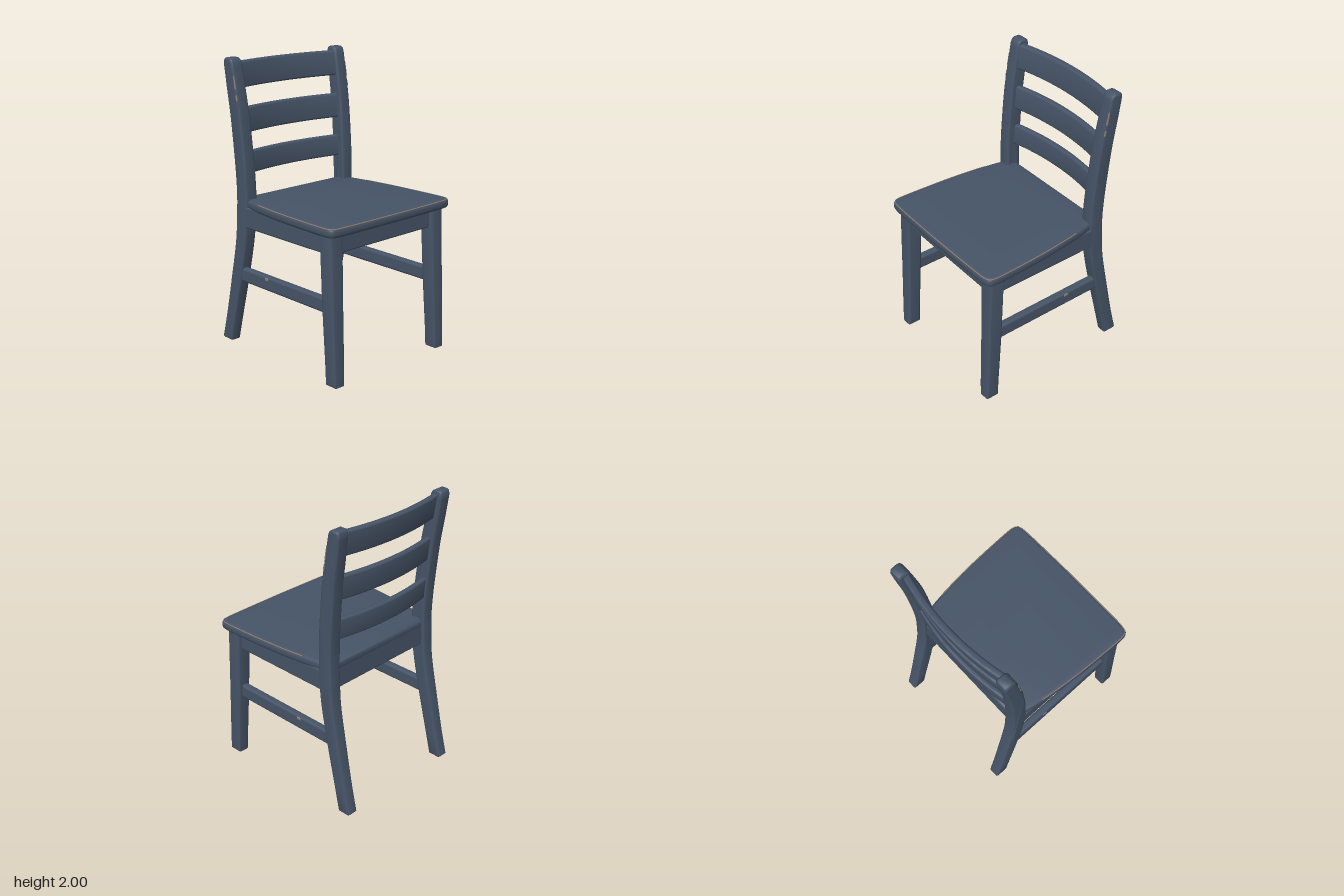
import * as THREE from 'three';
import { toCreasedNormals } from 'three/addons/utils/BufferGeometryUtils.js';
import { RoundedBoxGeometry } from 'three/addons/geometries/RoundedBoxGeometry.js';

const paint = new THREE.MeshStandardMaterial({ color: 0x465467 });
paint.name = 'slate blue paint';
const bare = new THREE.MeshStandardMaterial({ color: 0x917f70 });
bare.name = 'worn bare wood';

const v2 = ([x, y]) => new THREE.Vector2(x, y);
const smooth = (pts, n) => new THREE.SplineCurve(pts.map(v2)).getPoints(n);

// Extrude an outline to total height h with rounded edges that stay inside it
function slab(points, h, r) {
  const g = new THREE.ExtrudeGeometry(new THREE.Shape(points), {
    depth: h - 2 * r, bevelThickness: r, bevelSize: r, bevelOffset: -r, bevelSegments: 3, steps: 1,
  });
  return g.translate(0, 0, r);
}

// Move every vertex by a rule
function warp(g, rule) {
  const p = g.attributes.position, v = new THREE.Vector3();
  for (let i = 0; i < p.count; i++) {
    rule(v.fromBufferAttribute(p, i));
    p.setXYZ(i, v.x, v.y, v.z);
  }
  return toCreasedNormals(g, 0.7);
}

// Linear lookup in a list of [y, value]
function at(list, y) {
  for (let i = 1; i < list.length; i++) {
    const [y0, a] = list[i - 1], [y1, b] = list[i];
    if (y <= y1) return THREE.MathUtils.lerp(a, b, Math.max(0, (y - y0) / (y1 - y0)));
  }
  return list[list.length - 1][1];
}

// Leg cut from a side profile of [z, y]; its sides follow inner and outer x by height
function leg(profile, side, inner, outer) {
  const w = 0.1;
  const g = slab(profile.map(p => new THREE.Vector2(-p.x, p.y)), w, 0.016).rotateY(Math.PI / 2);
  return warp(g, v => {
    const t = side > 0 ? v.x / w : 1 - v.x / w;
    v.x = side * THREE.MathUtils.lerp(at(inner, v.y), at(outer, v.y), t);
  });
}

export function createModel() {
  const chair = new THREE.Group();
  chair.name = 'chair';
  const add = (name, geometry, material = paint) => {
    const m = new THREE.Mesh(geometry, material);
    m.name = name;
    chair.add(m);
    return m;
  };
  const box = (name, w, h, d, x, y, z, material = paint, r = 0.012) =>
    add(name, new RoundedBoxGeometry(w, h, d, 2, Math.min(r, w / 2.2, h / 2.2, d / 2.2)), material)
      .position.set(x, y, z);

  // Seat: tapered board with rounded front corners
  const flank = smooth([[0.485, -0.31], [0.505, -0.2], [0.53, 0], [0.545, 0.2], [0.555, 0.45],
    [0.553, 0.53], [0.542, 0.562], [0.51, 0.578], [0.4, 0.585], [0, 0.59]], 48);
  const half = [[0.4, -0.4], [0.45, -0.34]].map(v2).concat(flank);
  const mirrored = half.slice(0, -1).reverse().map(p => new THREE.Vector2(-p.x, p.y));
  const outline = half.concat(mirrored).map(p => new THREE.Vector2(p.x, -p.y));
  const seat = slab(outline, 0.065, 0.022).rotateX(-Math.PI / 2).translate(0, 0.996, 0);
  add('seat', toCreasedNormals(seat, 0.7));

  // Worn line along the upper rim of the seat
  const rim = flank.concat(flank.slice(0, -1).reverse().map(p => new THREE.Vector2(-p.x, p.y)))
    .map(p => new THREE.Vector3(p.x * 0.988, 1.0545, p.y * 0.989)).slice(6, -6);
  add('seatRimWear', new THREE.TubeGeometry(new THREE.CatmullRomCurve3(rim), 140, 0.0042, 5), bare);

  // Side profiles of the legs
  const rearFront = smooth([[-0.5, 0.004], [-0.455, 0.2], [-0.392, 0.47], [-0.335, 0.75], [-0.314, 0.95],
    [-0.311, 1.1], [-0.32, 1.3], [-0.35, 1.6], [-0.383, 1.8], [-0.415, 1.965]], 40);
  const rearBack = smooth([[-0.507, 1.965], [-0.485, 1.8], [-0.456, 1.6], [-0.429, 1.3], [-0.42, 1.1],
    [-0.424, 0.95], [-0.44, 0.75], [-0.495, 0.47], [-0.552, 0.2], [-0.598, 0.015]], 40);
  const rearProfile = [...rearFront, ...[[-0.425, 1.988], [-0.445, 2], [-0.485, 2], [-0.5, 1.99]].map(v2),
    ...rearBack, v2([-0.585, 0.004])];
  const frontProfile = [[0.575, 0], [0.573, 0.1], [0.555, 0.5], [0.535, 1.01],
    [0.425, 1.01], [0.45, 0.5], [0.478, 0.1], [0.482, 0]].map(v2);

  for (const s of [1, -1]) {
    const side = s > 0 ? 'left' : 'right';
    add(side + 'RearLegAndPost', leg(rearProfile, s,
      [[0, 0.425], [0.8, 0.405], [1.1, 0.4], [2, 0.42]],
      [[0, 0.507], [0.8, 0.498], [1.1, 0.495], [2, 0.511]]));
    add(side + 'FrontLeg', leg(frontProfile, s, [[0, 0.43], [1, 0.41]], [[0, 0.52], [1, 0.52]]));

    // Side apron and stretcher
    box(side + 'Apron', 0.055, 0.145, 0.82, s * 0.468, 0.9375, 0.055);
    box(side + 'Stretcher', 0.055, 0.1, 0.89, s * 0.464, 0.519, 0.035, paint, 0.018);

    // Chipped patches on feet, posts and stretchers
    box(side + 'FrontFootWear', 0.05, 0.006, 0.05, s * 0.475, 0.003, 0.53, bare);
    box(side + 'RearFootWear', 0.04, 0.006, 0.05, s * 0.466, 0.005, -0.545, bare);
    box(side + 'StretcherWear', 0.009, 0.02, 0.035, s * 0.4885, 0.55, -0.12, bare);
    for (const [y, l] of [[1.84, 0.09], [1.74, 0.04]]) {
      const z = at([[1.6, -0.35], [1.8, -0.383], [1.965, -0.415]], y) - 0.008;
      const chip = add(side + 'PostWear', new RoundedBoxGeometry(0.009, l, 0.012, 1, 0.003), bare);
      chip.position.set(s * 0.5025, y, z);
      chip.rotation.x = -0.18;
    }
  }

  // Front apron and back rail
  box('frontApron', 0.88, 0.145, 0.05, 0, 0.9375, 0.485);
  box('backRail', 0.86, 0.18, 0.06, 0, 0.955, -0.368);

  // Three bowed back slats, leaning with the posts: bottom, height, centre front z, thickness, lean
  const slats = [[1.222, 0.15, -0.412, 0.043, 0.07], [1.5, 0.17, -0.425, 0.043, 0.1], [1.8, 0.172, -0.45, 0.048, 0.15]];
  slats.forEach(([y, h, z, t, lean], k) => {
    const xs = Array.from({ length: 25 }, (_, i) => -0.44 + 0.88 * i / 24);
    const bow = x => z + 0.05 * (x / 0.43) ** 2;
    const plan = [...xs.map(x => new THREE.Vector2(x, -bow(x))),
      ...xs.reverse().map(x => new THREE.Vector2(x, -bow(x) + t))];
    const g = slab(plan, h, 0.014).rotateX(-Math.PI / 2);
    add(['lower', 'middle', 'upper'][k] + 'BackSlat', warp(g, v => {
      v.z -= v.y * lean;
      v.y += y;
    }));
  });

  return chair;
}
